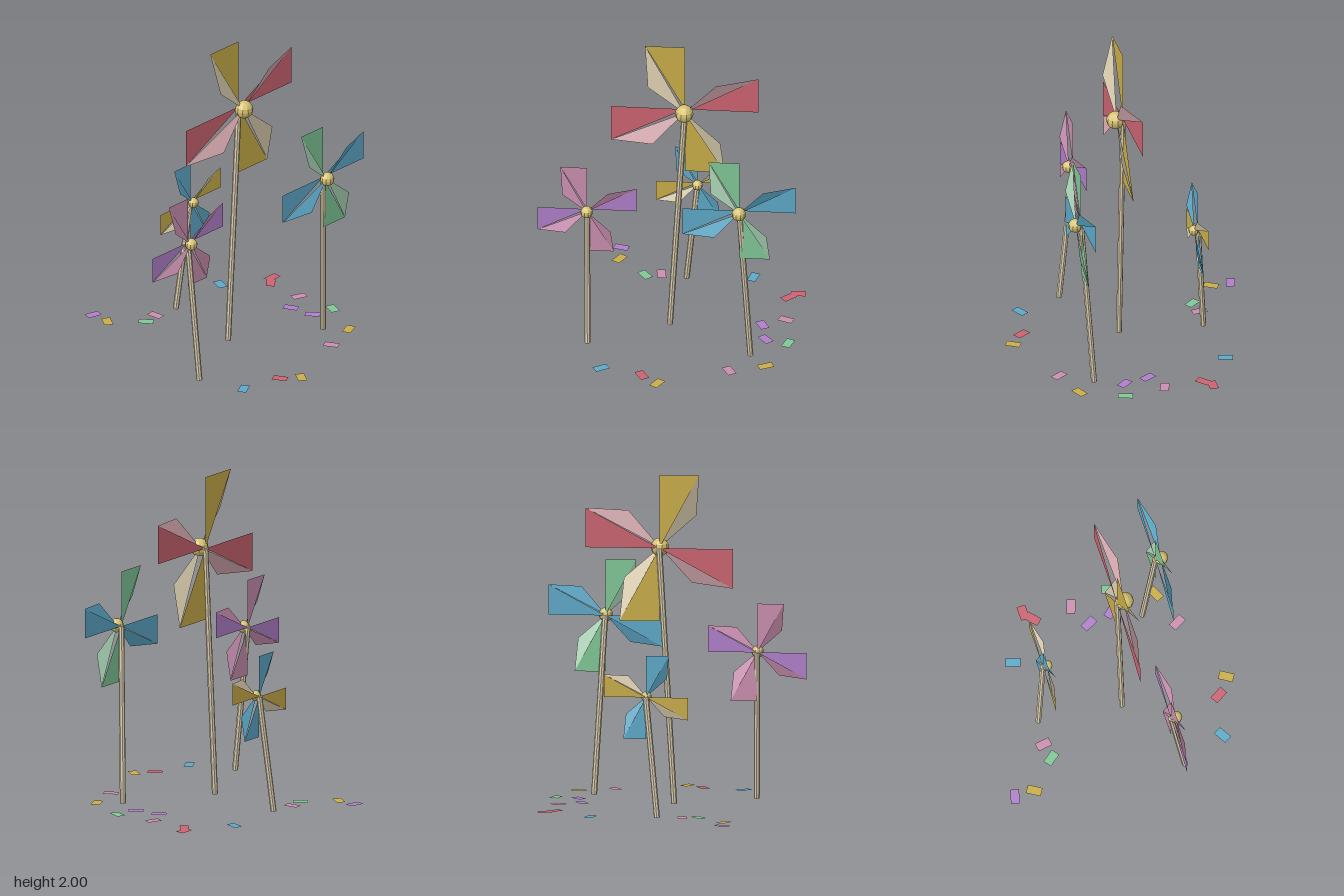
import * as THREE from 'three';

const mat = (name, color, opts = {}) => {
  const m = new THREE.MeshStandardMaterial({ color, ...opts });
  m.name = name;
  return m;
};

export function createModel() {
  const group = new THREE.Group();
  group.name = 'pinwheelGarden';

  const both = { side: THREE.DoubleSide, flatShading: true };
  const cream = mat('cream', 0xdccfb0, both);
  const gold = mat('gold', 0xd6c272, { flatShading: true });
  const yellow = mat('yellow', 0xc9ae49, both);
  const red = mat('red', 0xcb6471, both);
  const rose = mat('rose', 0xd6aab0, both);
  const green = mat('green', 0x80c897, both);
  const mint = mat('mint', 0xaad4b6, both);
  const blue = mat('blue', 0x5da9c9, both);
  const purple = mat('purple', 0xb17fca, both);
  const pink = mat('pink', 0xca8fb0, both);

  const add = (parent, name, geometry, material) => {
    const mesh = new THREE.Mesh(geometry, material);
    mesh.name = name;
    parent.add(mesh);
    return mesh;
  };

  const triangle = (...points) => {
    const g = new THREE.BufferGeometry().setFromPoints(points.map(p => new THREE.Vector3(...p)));
    g.computeVertexNormals();
    return g;
  };

  // One sail for a wheel of radius 1: a flat back half and a half folded forward to the hub
  const flatHalf = triangle([0, 0, 0], [1, 0, 0], [1, 0.54, 0]);
  const foldedHalf = triangle([0, 0, 0.09], [1, 0.54, 0], [0.43, 0.49, 0.15]);

  // Straight leaning stick between two points
  const stick = (parent, from, to) => {
    const a = new THREE.Vector3(...from), b = new THREE.Vector3(...to);
    const dir = b.clone().sub(a);
    const mesh = add(parent, 'stick', new THREE.CylinderGeometry(0.018, 0.018, dir.length(), 8), cream);
    mesh.position.copy(a).add(b).multiplyScalar(0.5);
    mesh.quaternion.setFromUnitVectors(new THREE.Vector3(0, 1, 0), dir.normalize());
  };

  // top: wheel centre; sails: [flat, folded] for the side pair, then the upright pair
  const wheels = [
    { name: 'tallPinwheel', base: [-0.005, 0, 0.06], top: [0.085, 1.555, 0.06], r: 0.445, sails: [[red, rose], [yellow, cream]] },
    { name: 'rightPinwheel', base: [-0.483, 0, 0.3], top: [-0.493, 0.903, 0.21], r: 0.297, sails: [[purple, pink], [pink, pink]] },
    { name: 'leftPinwheel', base: [0.503, 0, 0.357], top: [0.441, 1.08, 0.421], r: 0.342, sails: [[blue, blue], [green, mint]] },
    { name: 'backPinwheel', base: [0.056, 0, -0.449], top: [0.127, 0.722, -0.396], r: 0.253, sails: [[yellow, cream], [blue, blue]] },
  ];
  for (const w of wheels) {
    const pinwheel = new THREE.Group();
    pinwheel.name = w.name;
    group.add(pinwheel);
    stick(pinwheel, w.base, w.top);

    const wheel = new THREE.Group();
    wheel.name = 'wheel';
    wheel.position.set(...w.top);
    wheel.scale.setScalar(w.r);
    pinwheel.add(wheel);
    for (let i = 0; i < 4; i++) {
      const sail = new THREE.Group();
      sail.name = 'sail';
      sail.rotation.z = i * Math.PI / 2;
      add(sail, 'flatHalf', flatHalf, w.sails[i % 2][0]);
      add(sail, 'foldedHalf', foldedHalf, w.sails[i % 2][1]);
      wheel.add(sail);
    }
    add(wheel, 'hub', new THREE.SphereGeometry(0.125, 10, 8), gold).position.z = 0.105;
  }

  // Paper scraps on the ground: x, z, turn in degrees, colour
  const scraps = [
    [-0.36, -0.735, 14, purple], [-0.36, -0.613, -58, yellow],
    [-0.195, -0.45, 52, green], [-0.097, -0.467, 82, pink],
    [0.457, -0.476, -73, blue], [0.74, -0.318, 0, red],
    [0.685, -0.275, -42, red], [0.687, -0.033, 20, pink],
    [0.55, 0.035, 62, purple], [0.582, 0.187, 50, purple],
    [0.72, 0.22, -72, green], [0.605, 0.475, -25, yellow],
    [0.39, 0.543, 60, pink], [-0.38, 0.573, -30, blue],
    [-0.13, 0.632, 60, red], [-0.031, 0.712, -58, yellow],
  ];
  const scrapShape = new THREE.PlaneGeometry(0.09, 0.054).rotateX(-Math.PI / 2);
  for (const [x, z, turn, material] of scraps) {
    const scrap = add(group, 'paperScrap', scrapShape, material);
    scrap.position.set(x, 0.004, z);
    scrap.rotation.y = -THREE.MathUtils.degToRad(turn);
  }

  return group;
}
